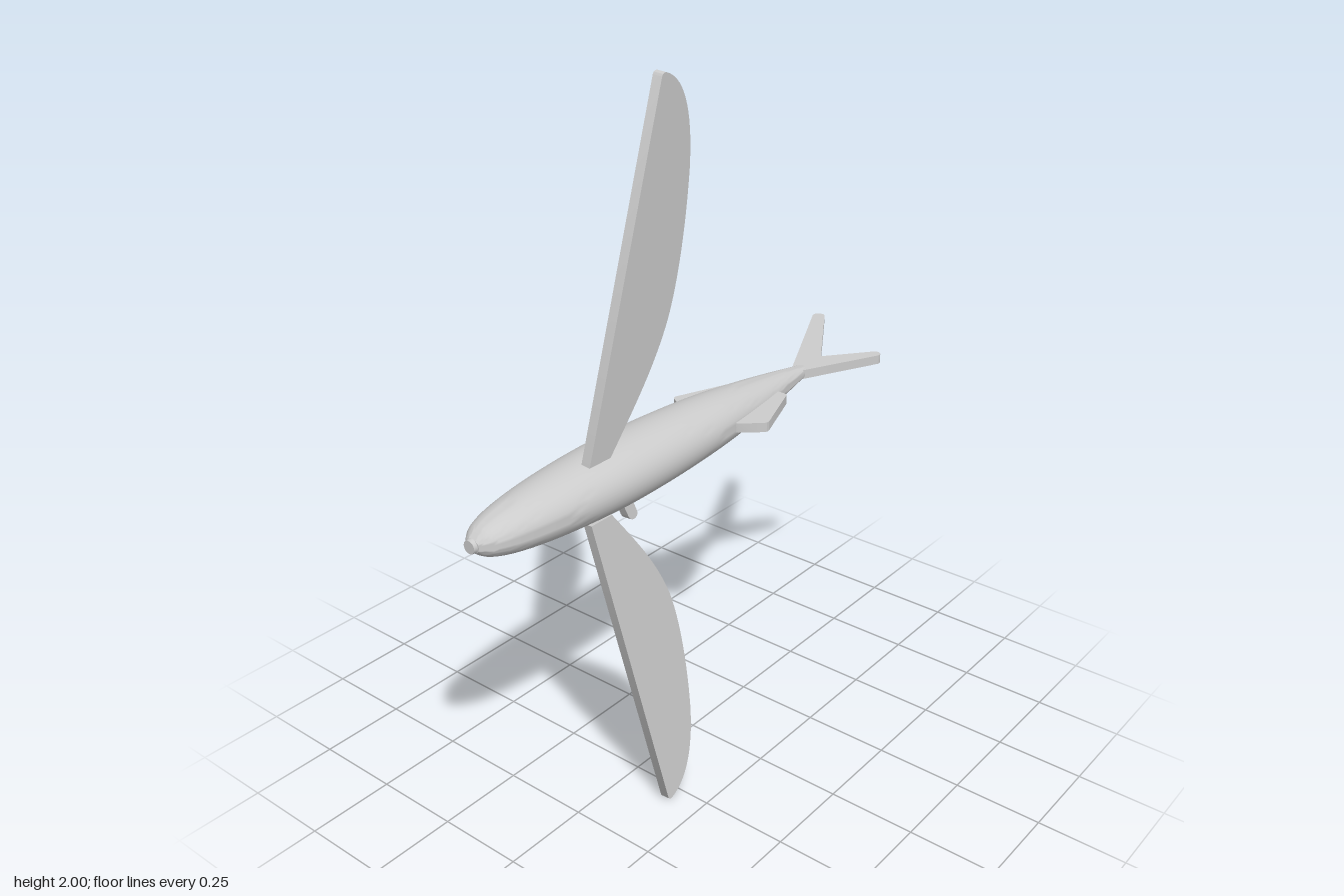
import * as THREE from 'three';
import { toCreasedNormals } from 'three/addons/utils/BufferGeometryUtils.js';

const material = new THREE.MeshStandardMaterial({ color: 0xcccccc });
const MID_Y = 1, MID_Z = 0.032, THICK = 0.027;

// Flat plate of even thickness, centred on its own plane
function plate(shape) {
  const g = new THREE.ExtrudeGeometry(shape, { depth: THICK, bevelEnabled: false, curveSegments: 16 });
  g.translate(0, 0, -THICK / 2);
  return toCreasedNormals(g, 0.5);
}

// Polygon whose corners [x, y, radius] are rounded
function roundedShape(corners) {
  const shape = new THREE.Shape();
  const n = corners.length;
  const toward = (a, b, d) => {
    const k = Math.min(0.5, d / Math.hypot(b[0] - a[0], b[1] - a[1]));
    return [a[0] + (b[0] - a[0]) * k, a[1] + (b[1] - a[1]) * k];
  };
  corners.forEach((c, i) => {
    const start = toward(c, corners[(i + n - 1) % n], c[2]);
    const end = toward(c, corners[(i + 1) % n], c[2]);
    if (i === 0) shape.moveTo(...start); else shape.lineTo(...start);
    if (c[2] > 0) shape.quadraticCurveTo(c[0], c[1], ...end);
  });
  shape.closePath();
  return shape;
}

export function createModel() {
  const model = new THREE.Group();
  const add = (name, geometry, x = 0, y = MID_Y, z = 0) => {
    const mesh = new THREE.Mesh(geometry, material);
    mesh.name = name;
    mesh.position.set(x, y, z);
    model.add(mesh);
    return mesh;
  };

  // Spindle body: radius along x, flattened in y
  const profile = new THREE.SplineCurve([
    [0.022, -0.84], [0.05, -0.805], [0.073, -0.73], [0.092, -0.6], [0.104, -0.43], [0.105, -0.28],
    [0.099, -0.12], [0.087, 0.04], [0.066, 0.2], [0.043, 0.34], [0.02, 0.465],
  ].map(p => new THREE.Vector2(...p))).getPoints(48);
  const body = new THREE.LatheGeometry([new THREE.Vector2(0, -0.84), ...profile, new THREE.Vector2(0, 0.465)], 48);
  body.rotateZ(-Math.PI / 2).scale(1, 0.82, 1);
  add('body', toCreasedNormals(body, 0.7), 0, MID_Y, MID_Z);

  // Blunt mouth at the nose
  const mouth = new THREE.CylinderGeometry(0.021, 0.017, 0.022, 24);
  mouth.rotateZ(-Math.PI / 2);
  add('mouth', mouth, -0.839, MID_Y, MID_Z);

  // Paired fins, mirrored in y
  for (const s of [1, -1]) {
    const side = s > 0 ? 'upper' : 'lower';

    // Long wing fin, straight leading edge and curved trailing edge
    const wing = new THREE.Shape();
    wing.moveTo(-0.5, 0);
    wing.lineTo(-0.308, s * 0.915);
    wing.quadraticCurveTo(-0.305, s * 0.923, -0.295, s * 0.923);
    wing.bezierCurveTo(-0.215, s * 0.9, -0.19, s * 0.79, -0.188, s * 0.68);
    wing.bezierCurveTo(-0.188, s * 0.54, -0.205, s * 0.4, -0.235, s * 0.31);
    wing.bezierCurveTo(-0.275, s * 0.2, -0.34, s * 0.115, -0.425, 0);
    wing.closePath();
    add(side + 'WingFin', plate(wing), 0, MID_Y + s * 0.08, 0.072).rotation.x = s * 0.083;

    // Small pelvic fin with a rounded tip
    const pelvic = roundedShape([
      [-0.312, 0, 0], [-0.252, s * 0.145, 0.022], [-0.219, s * 0.139, 0.022], [-0.274, 0, 0],
    ]);
    add(side + 'PelvicFin', plate(pelvic), 0, MID_Y + s * 0.06, -0.03).rotation.x = s * 0.07;
  }

  // Single fins lying in the xz plane, corners as [x, z, radius]
  const flatFins = {
    dorsalFin: [[0.03, 0.1, 0], [0.037, 0.125, 0], [0.09, 0.184, 0.014], [0.273, 0.115, 0.006], [0.276, 0.05, 0]],
    analFin: [[0.01, -0.03, 0], [0.02, -0.055, 0], [0.06, -0.12, 0.014], [0.222, -0.058, 0.006], [0.224, -0.01, 0]],
    tailFin: [
      [0.44, 0.052, 0], [0.682, 0.165, 0.018], [0.699, 0.141, 0.018], [0.56, 0.032, 0.004],
      [0.857, -0.156, 0.02], [0.838, -0.186, 0.02], [0.44, 0.014, 0],
    ],
  };
  for (const [name, corners] of Object.entries(flatFins)) {
    add(name, plate(roundedShape(corners)).rotateX(Math.PI / 2));
  }
  return model;
}
